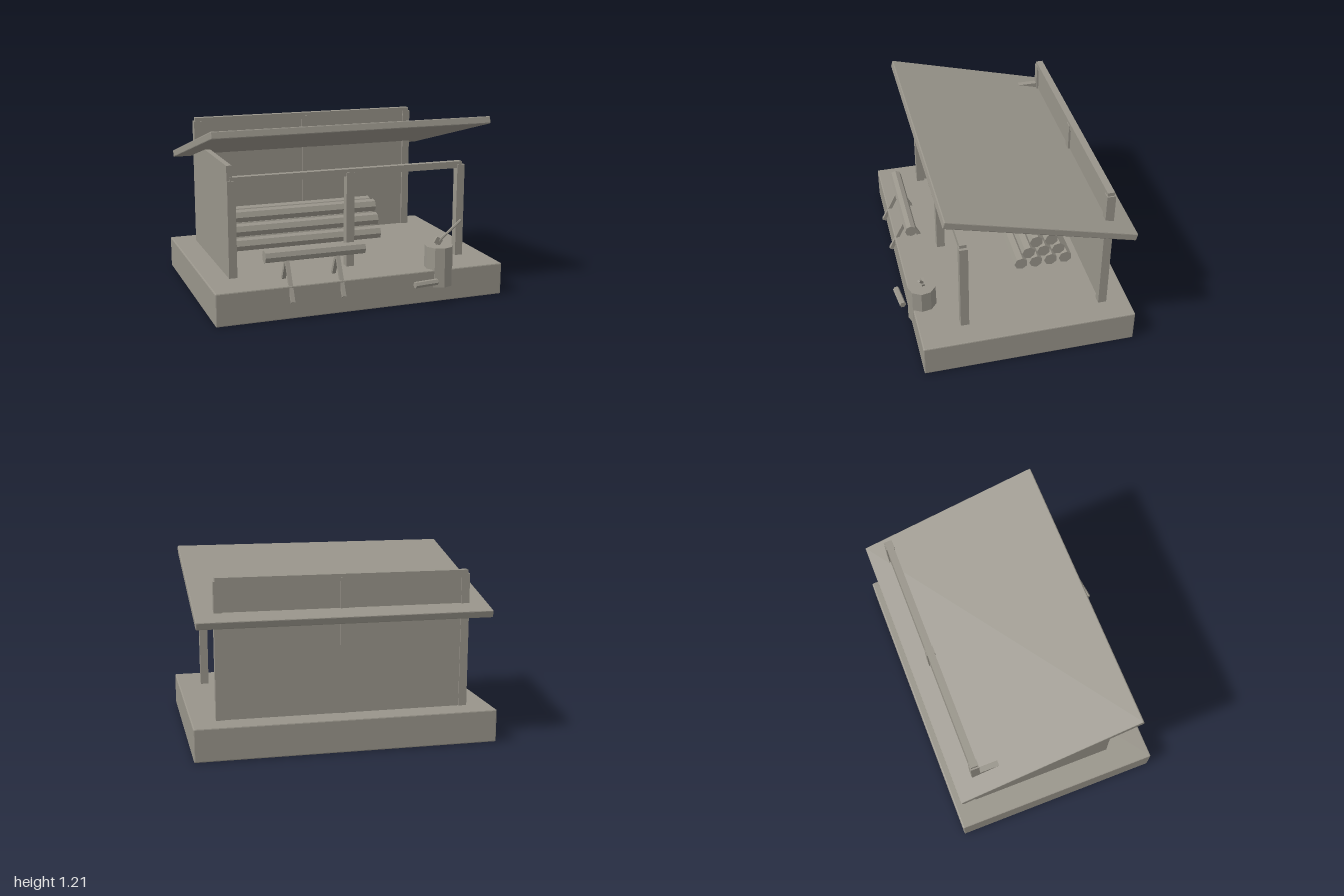
import * as THREE from 'three';
import { RoundedBoxGeometry } from 'three/addons/geometries/RoundedBoxGeometry.js';

const stone = new THREE.MeshStandardMaterial({ color: 0x98948a, flatShading: true });
stone.name = 'warm grey';

export function createModel() {
  const root = new THREE.Group();
  root.name = 'woodShed';

  const add = (name, geometry, x, y, z) => {
    const mesh = new THREE.Mesh(geometry, stone);
    mesh.name = name;
    mesh.position.set(x, y, z);
    root.add(mesh);
    return mesh;
  };
  // Box given by its extents on each axis
  const block = (name, [x0, x1], [y0, y1], [z0, z1]) =>
    add(name, new THREE.BoxGeometry(x1 - x0, y1 - y0, z1 - z0), (x0 + x1) / 2, (y0 + y1) / 2, (z0 + z1) / 2);
  // Log lying along x
  const log = (name, r, x0, x1, y, z, sides) => {
    const mesh = add(name, new THREE.CylinderGeometry(r, r, x1 - x0, sides), (x0 + x1) / 2, y, z);
    mesh.rotation.z = Math.PI / 2;
    return mesh;
  };
  // Aim a mesh's y axis from a to b
  const aim = (mesh, a, b) => {
    mesh.position.copy(a).add(b).multiplyScalar(0.5);
    mesh.quaternion.setFromUnitVectors(new THREE.Vector3(0, 1, 0), b.clone().sub(a).normalize());
  };

  // Base slab
  add('base', new RoundedBoxGeometry(2, 0.22, 1.43, 1, 0.008), 0, 0.11, -0.042);

  // Posts and top beams
  for (const x of [-0.8125, 0, 0.8125]) {
    block('frontPost', [x - 0.0275, x + 0.0275], [0.21, 0.865], [0.338, 0.394]);
    block('backPost', [x - 0.0275, x + 0.0275], [0.21, 1.112], [-0.605, -0.548]);
  }
  block('frontBeam', [-0.82, 0.82], [0.842, 0.888], [0.343, 0.389]);
  block('backBeam', [-0.83, 0.83], [1.09, 1.136], [-0.6, -0.553]);

  // Walls
  block('backWall', [-0.82, 0.82], [0.21, 1.1], [-0.598, -0.562]);
  block('sideWall', [-0.84, -0.803], [0.21, 0.965], [-0.59, 0.382]);

  // Sloping roof
  const roof = add('roof', new RoundedBoxGeometry(1.93, 0.05, 1.275, 1, 0.006), 0, 1.022, -0.106);
  roof.rotation.x = -0.26;

  // Stacked logs: rows of four, three and two
  for (let row = 0; row < 3; row++) {
    for (let i = 0; i < 4 - row; i++) {
      log('stackedLog', 0.047, -0.69, 0.42, 0.292 + row * 0.089, -0.123 - row * 0.053 - i * 0.106, 7);
    }
  }

  // Sawhorse with splayed legs
  log('sawhorseLog', 0.042, -0.655, 0.025, 0.4, 0.575, 8);
  for (const x of [-0.505, -0.16]) {
    for (const side of [-1, 1]) {
      const leg = add('sawhorseLeg', new THREE.BoxGeometry(0.025, 0.3, 0.025), 0, 0, 0);
      aim(leg, new THREE.Vector3(x, 0.12, 0.575 + side * 0.128), new THREE.Vector3(x, 0.385, 0.575 - side * 0.005));
    }
  }

  // Chopping stump
  add('stump', new THREE.CylinderGeometry(0.095, 0.1, 0.27, 9), 0.558, 0.235, 0.6);

  // Axe stuck in the stump
  const foot = new THREE.Vector3(0.54, 0.375, 0.583);
  const tip = new THREE.Vector3(0.7, 0.54, 0.635);
  const handle = add('axeHandle', new THREE.CylinderGeometry(0.009, 0.009, foot.distanceTo(tip), 6), 0, 0, 0);
  aim(handle, foot, tip);
  const head = add('axeHead', new THREE.BoxGeometry(0.05, 0.045, 0.018), 0.556, 0.396, 0.589);
  head.rotation.z = -0.55;

  // Loose stick beside the base
  const stick = log('looseStick', 0.022, 0.322, 0.492, 0.156, 0.733, 6);
  stick.rotation.y = 0.12;
  stick.rotation.order = 'YXZ';

  return root;
}
